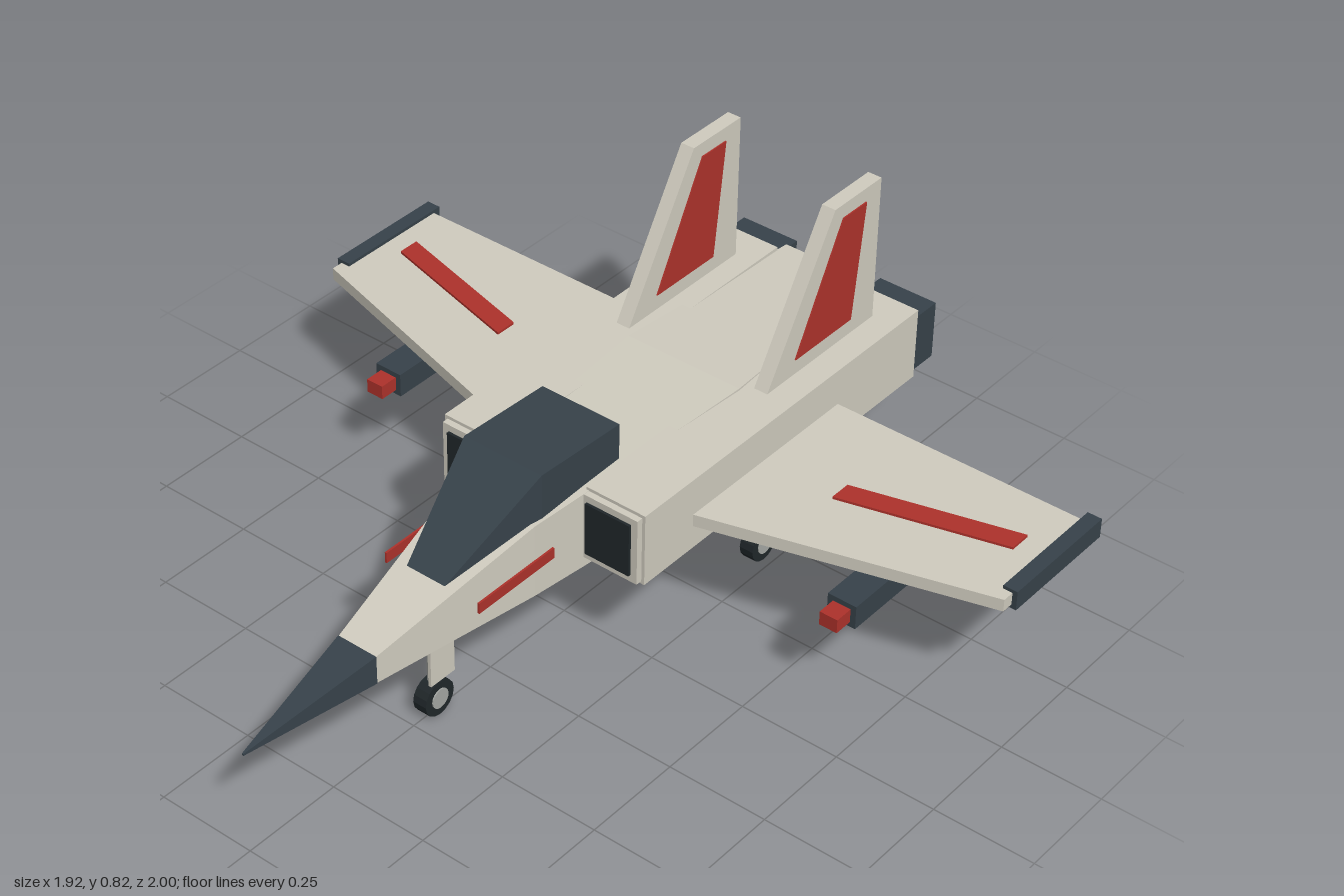
import * as THREE from 'three';

const mat = (color) => new THREE.MeshStandardMaterial({ color, flatShading: true });

export function createModel() {
  const model = new THREE.Group();
  const body = mat(0xd0ccbf), dark = mat(0x37424a), black = mat(0x20272a);
  const red = mat(0xae322b), steel = mat(0xa5a8a4);

  const add = (name, geometry, material, parent = model) => {
    const mesh = new THREE.Mesh(geometry, material);
    mesh.name = name;
    parent.add(mesh);
    return mesh;
  };

  // box given by its lower and upper corner
  const box = (name, [x0, y0, z0], [x1, y1, z1], material, parent) => {
    const g = new THREE.BoxGeometry(Math.abs(x1 - x0), y1 - y0, z1 - z0);
    g.translate((x0 + x1) / 2, (y0 + y1) / 2, (z0 + z1) / 2);
    return add(name, g, material, parent);
  };

  // skin over rectangular sections [z, halfWidth, bottom, top], front to back
  const loft = (name, sections, material) => {
    const pos = [];
    const rings = sections.map(([z, w, b, t]) => [[-w, b, z], [w, b, z], [w, t, z], [-w, t, z]]);
    const quad = (a, b, c, d) => [a, b, c, a, c, d].forEach((p) => pos.push(...p));
    for (let k = 0; k + 1 < rings.length; k++) {
      const A = rings[k], B = rings[k + 1];
      for (let i = 0; i < 4; i++) {
        const j = (i + 1) % 4;
        quad(A[i], B[i], B[j], A[j]);
      }
    }
    const last = rings[rings.length - 1];
    quad(...rings[0]);
    quad(...[...last].reverse());
    const g = new THREE.BufferGeometry();
    g.setAttribute('position', new THREE.Float32BufferAttribute(pos, 3));
    g.computeVertexNormals();
    return add(name, g, material);
  };

  const extrude = (points, depth) => new THREE.ExtrudeGeometry(
    new THREE.Shape(points.map(([u, v]) => new THREE.Vector2(u, v))), { depth, bevelEnabled: false });

  // plate with an outline in [x, z], lying between two heights
  const flatPlate = (name, points, y0, y1, material) => {
    const g = extrude(points.map(([x, z]) => [x, -z]), y1 - y0);
    g.rotateX(-Math.PI / 2).translate(0, y0, 0);
    return add(name, g, material);
  };

  // upright plate with an outline in [z, y], centred on x
  const uprightPlate = (name, points, x, thickness, material) => {
    const g = extrude(points, thickness);
    g.rotateY(-Math.PI / 2).translate(x + thickness / 2, 0, 0);
    return add(name, g, material);
  };

  // fuselage, nose and canopy
  loft('noseCone', [[1, 0.002, 0.263, 0.268], [0.66, 0.053, 0.256, 0.328]], dark);
  loft('fuselage', [
    [0.66, 0.052, 0.257, 0.327], [0.23, 0.112, 0.248, 0.435], [0.07, 0.127, 0.245, 0.443],
    [-0.41, 0.157, 0.248, 0.455], [-0.95, 0.12, 0.268, 0.44],
  ], body);
  loft('canopy', [
    [0.46, 0.05, 0.36, 0.372], [0.2, 0.107, 0.425, 0.55], [-0.055, 0.107, 0.44, 0.537],
  ], dark);

  for (const s of [1, -1]) {
    const side = s > 0 ? 'left' : 'right';

    // engine nacelle with intake and nozzle
    box(side + 'Nacelle', [s * 0.12, 0.265, -0.915], [s * 0.28, 0.45, 0.07], body);
    box(side + 'IntakeLip', [s * 0.125, 0.272, 0.07], [s * 0.272, 0.442, 0.086], body);
    box(side + 'Intake', [s * 0.134, 0.29, 0.08], [s * 0.255, 0.425, 0.093], black);
    box(side + 'Nozzle', [s * 0.12, 0.28, -0.992], [s * 0.276, 0.428, -0.91], dark);
    box(side + 'NozzleOpening', [s * 0.138, 0.298, -1], [s * 0.258, 0.41, -0.98], black);
    box(side + 'NoseStripe', [s * 0.127, 0.337, 0.19], [s * 0.132, 0.364, 0.43], red);

    // wing, its stripe and tip rail
    flatPlate(side + 'Wing',
      [[s * 0.14, -0.055], [s * 0.95, -0.285], [s * 0.95, -0.615], [s * 0.14, -0.615]],
      0.325, 0.356, body);
    flatPlate(side + 'WingStripe',
      [[s * 0.475, -0.385], [s * 0.87, -0.49], [s * 0.87, -0.435], [s * 0.475, -0.33]],
      0.35, 0.362, red);
    box(side + 'TipRail', [s * 0.926, 0.315, -0.635], [s * 0.962, 0.364, -0.315], dark);

    // store hung under the wing
    box(side + 'Store', [s * 0.608, 0.225, -0.455], [s * 0.682, 0.285, -0.14], dark);
    box(side + 'StoreTip', [s * 0.622, 0.237, -0.14], [s * 0.668, 0.272, -0.093], red);

    // tail fin with a coloured panel on both faces
    uprightPlate(side + 'Fin',
      [[-0.435, 0.445], [-0.83, 0.445], [-0.83, 0.82], [-0.66, 0.82]], s * 0.195, 0.036, body);
    uprightPlate(side + 'FinPanel',
      [[-0.535, 0.49], [-0.74, 0.49], [-0.775, 0.785], [-0.69, 0.785]], s * 0.195, 0.043, red);
  }

  // landing gear: wheel, hub, strut, door and brace
  const gear = (name, x, z) => {
    const g = new THREE.Group();
    g.name = name;
    g.position.set(x, 0, z);
    const disc = (part, r, width, material) => add(part,
      new THREE.CylinderGeometry(r, r, width, 16).rotateZ(Math.PI / 2).translate(0, 0.045, 0),
      material, g);
    disc('tyre', 0.045, 0.036, black);
    disc('hub', 0.025, 0.042, steel);
    add('strut', new THREE.CylinderGeometry(0.013, 0.013, 0.21, 8).translate(0, 0.175, 0), steel, g);
    box('gearDoor', [0.028, 0.115, -0.03], [0.036, 0.265, 0.045], body, g);
    const brace = add('brace', new THREE.CylinderGeometry(0.008, 0.008, 0.15, 6), dark, g);
    brace.position.set(0, 0.2, -0.052);
    brace.rotation.x = -0.5;
    model.add(g);
  };
  gear('noseGear', 0, 0.435);
  gear('leftMainGear', 0.212, -0.43);
  gear('rightMainGear', -0.212, -0.43);

  return model;
}
